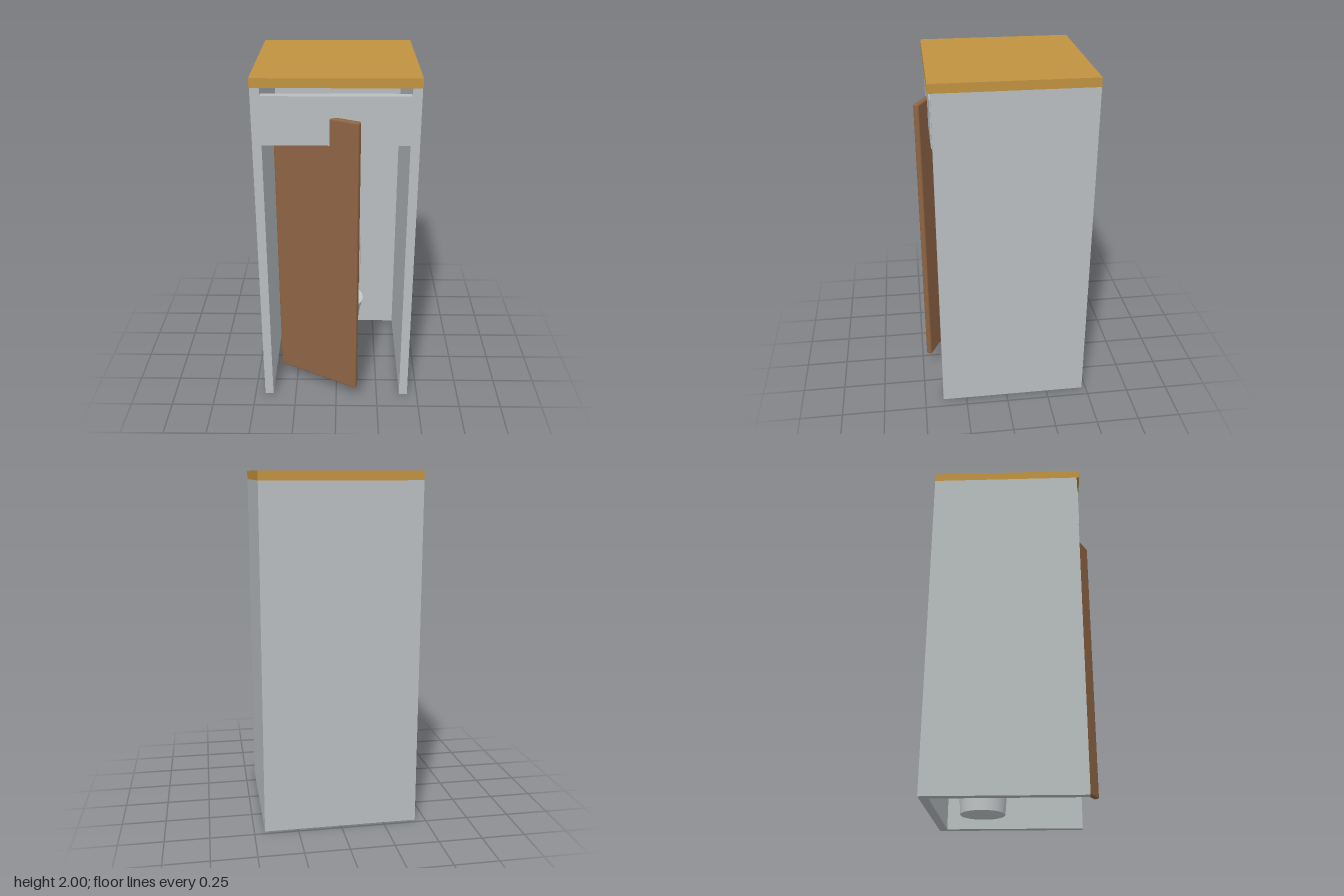
import * as THREE from 'three';
import { RoundedBoxGeometry } from 'three/addons/geometries/RoundedBoxGeometry.js';

function material(name, color) {
  const m = new THREE.MeshStandardMaterial({ color });
  m.name = name;
  return m;
}

export function createModel() {
  const group = new THREE.Group();
  const wall = material('wall grey', 0xb9bec0);
  const ochre = material('roof ochre', 0xc19340);
  const brown = material('door brown', 0x8e6444);
  const ceramic = material('ceramic', 0xc4c8ca);

  function add(name, geometry, mat, x = 0, y = 0, z = 0) {
    const mesh = new THREE.Mesh(geometry, mat);
    mesh.name = name;
    mesh.position.set(x, y, z);
    group.add(mesh);
    return mesh;
  }

  // box given by its lower and upper limits
  function box(name, mat, [x0, x1], [y0, y1], [z0, z1]) {
    return add(name, new THREE.BoxGeometry(x1 - x0, y1 - y0, z1 - z0), mat,
      (x0 + x1) / 2, (y0 + y1) / 2, (z0 + z1) / 2);
  }

  // U-shaped wall shell, open at the front and without a floor
  const plan = new THREE.Shape([
    [-0.44, -0.39], [-0.39, -0.39], [-0.39, 0.425], [0.39, 0.425],
    [0.39, -0.39], [0.44, -0.39], [0.44, 0.475], [-0.44, 0.475],
  ].map(([x, y]) => new THREE.Vector2(x, y)));
  const shell = new THREE.ExtrudeGeometry(plan, { depth: 1.95, bevelEnabled: false });
  shell.rotateX(-Math.PI / 2);
  add('walls', shell, wall);

  // roof slab and panel over the doorway
  box('roof', ochre, [-0.44, 0.44], [1.95, 2], [-0.475, 0.406]);
  box('lintel', wall, [-0.397, 0.393], [1.64, 1.905], [0.345, 0.396]);

  // door standing ajar
  const door = add('door', new RoundedBoxGeometry(0.526, 1.68, 0.034, 3, 0.01), brown, -0.107, 0.95, 0.337);
  door.rotation.y = -0.495;

  // toilet bowl, flaring to a flat lid
  const profile = [[0.125, 0], [0.134, 0.12], [0.145, 0.24], [0.172, 0.355]]
    .map(([r, y]) => new THREE.Vector2(r, y));
  const bowlZ = -0.18;
  add('bowl', new THREE.LatheGeometry(profile, 48), ceramic, 0, 0, bowlZ);
  const lid = new THREE.CircleGeometry(0.172, 48).rotateX(-Math.PI / 2);
  add('bowlLid', lid, ceramic, 0, 0.355, bowlZ);
  const base = new THREE.CircleGeometry(0.125, 48).rotateX(Math.PI / 2);
  add('bowlBase', base, ceramic, 0, 0, bowlZ);

  // cistern against the back wall
  add('cistern', new RoundedBoxGeometry(0.31, 0.335, 0.12, 3, 0.02), ceramic, 0, 0.543, -0.367);

  return group;
}
